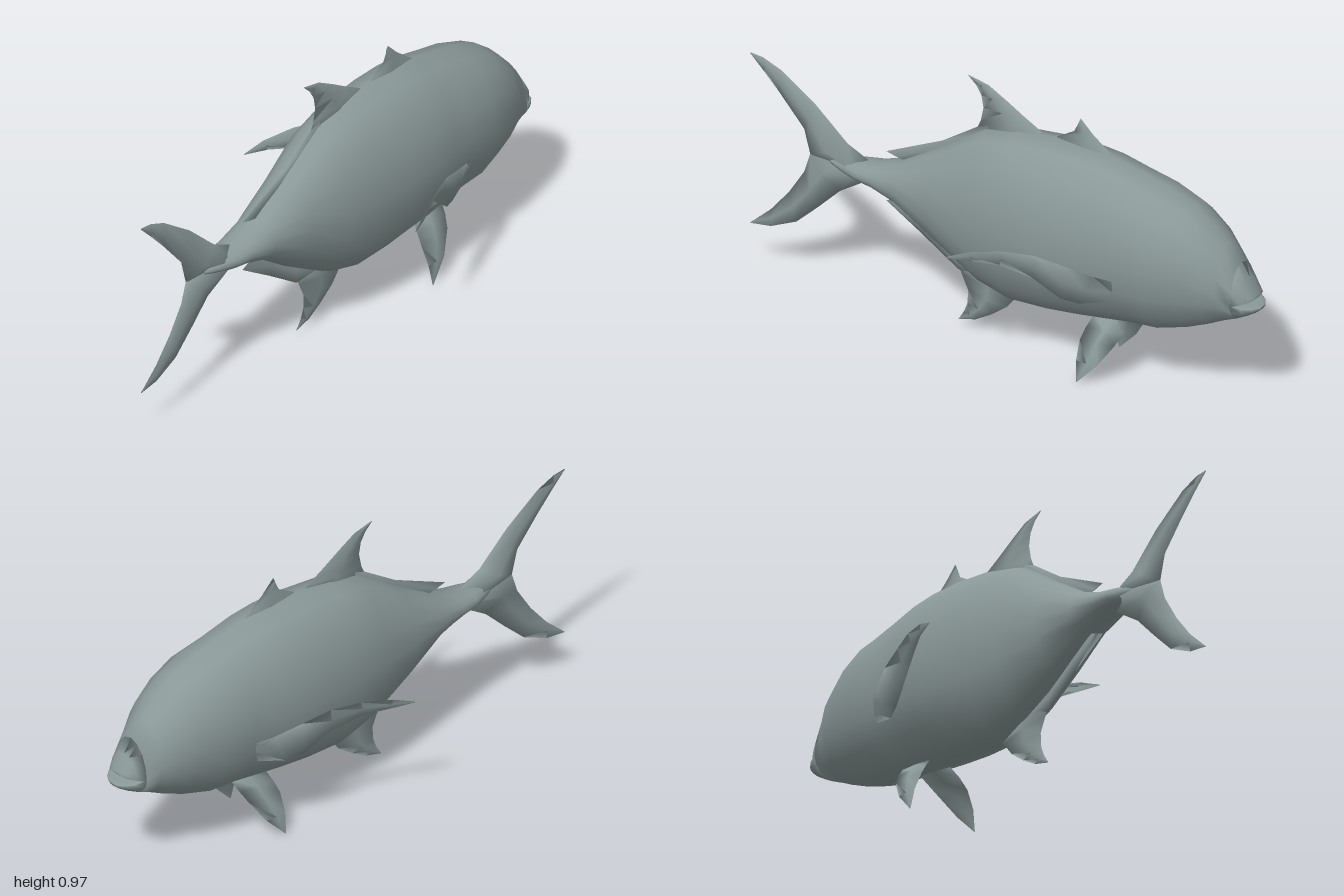
import * as THREE from 'three';

const skin = new THREE.MeshStandardMaterial({ color: 0x8a9898, side: THREE.DoubleSide });
skin.name = 'grey skin';

// Skin a list of equally sized point rings, closing both ends.
function skinRings(name, rings) {
  const n = rings[0].length, pos = [], idx = [];
  rings.forEach(r => r.forEach(p => pos.push(...p)));
  for (let i = 0; i < rings.length - 1; i++) {
    for (let j = 0; j < n; j++) {
      const a = i * n + j, b = i * n + (j + 1) % n;
      idx.push(a, a + n, b, b, a + n, b + n);
    }
  }
  const last = (rings.length - 1) * n;
  for (let j = 1; j < n - 1; j++) {
    idx.push(0, j, j + 1, last, last + j + 1, last + j);
  }
  const g = new THREE.BufferGeometry();
  g.setAttribute('position', new THREE.Float32BufferAttribute(pos, 3));
  g.setIndex(idx);
  g.computeVertexNormals();
  const mesh = new THREE.Mesh(g, skin);
  mesh.name = name;
  return mesh;
}

// Oval sections along x: [x, top, widest height, bottom, half width]
function loft(name, stations, sides = 16) {
  return skinRings(name, stations.map(([x, top, mid, bottom, w]) =>
    Array.from({ length: sides }, (_, j) => {
      const t = j / sides * Math.PI * 2, s = Math.sin(t);
      return [x, mid + s * (s > 0 ? top - mid : mid - bottom), w * Math.cos(t)];
    })));
}

// Lens-shaped fin: rows of [lead x, lead y, trail x, trail y, half thickness, lead z, trail z]
function fin(name, rows, side = 1) {
  return skinRings(name, rows.map(([lx, ly, tx, ty, t, lz = 0, tz = lz]) => {
    const mx = (lx + tx) / 2, my = (ly + ty) / 2, mz = side * (lz + tz) / 2;
    return [[lx, ly, side * lz], [mx, my, mz + t], [tx, ty, side * tz], [mx, my, mz - t]];
  }));
}

export function createModel() {
  const fish = new THREE.Group();
  fish.name = 'fish';

  // Body from the tail stalk to the corner of the mouth
  fish.add(loft('body', [
    [-0.68, 0.505, 0.495, 0.485, 0.015],
    [-0.61, 0.525, 0.495, 0.465, 0.045],
    [-0.56, 0.53, 0.495, 0.46, 0.063],
    [-0.5, 0.54, 0.495, 0.452, 0.072],
    [-0.4, 0.575, 0.495, 0.415, 0.088],
    [-0.25, 0.67, 0.495, 0.31, 0.12],
    [-0.08, 0.785, 0.495, 0.21, 0.157],
    [0.05, 0.815, 0.5, 0.175, 0.18],
    [0.2, 0.827, 0.5, 0.182, 0.193],
    [0.32, 0.825, 0.505, 0.195, 0.197],
    [0.42, 0.815, 0.51, 0.207, 0.19],
    [0.52, 0.79, 0.51, 0.22, 0.182],
    [0.63, 0.762, 0.51, 0.228, 0.183],
    [0.74, 0.722, 0.5, 0.26, 0.155],
    [0.82, 0.66, 0.48, 0.295, 0.132],
    [0.87, 0.61, 0.455, 0.32, 0.103],
    [0.92, 0.55, 0.415, 0.343, 0.083],
  ]));

  // Jaws, parted by the mouth
  fish.add(loft('upperJaw', [
    [0.92, 0.55, 0.415, 0.41, 0.083],
    [0.95, 0.5, 0.421, 0.418, 0.066],
    [0.975, 0.452, 0.43, 0.428, 0.045],
    [0.982, 0.438, 0.434, 0.432, 0.025],
  ]));
  fish.add(loft('lowerJaw', [
    [0.92, 0.418, 0.415, 0.343, 0.083],
    [0.955, 0.41, 0.405, 0.362, 0.07],
    [0.985, 0.408, 0.402, 0.38, 0.046],
    [1.0, 0.403, 0.4, 0.393, 0.02],
  ]));

  // Forked tail
  fish.add(fin('upperTailLobe', [
    [-0.53, 0.53, -0.62, 0.47, 0.045],
    [-0.62, 0.575, -0.765, 0.49, 0.026],
    [-0.745, 0.69, -0.79, 0.585, 0.014],
    [-0.88, 0.785, -0.88, 0.69, 0.008],
    [-0.95, 0.814, -0.945, 0.76, 0.005],
    [-1, 0.82, -0.998, 0.814, 0.002],
  ]));
  fish.add(fin('lowerTailLobe', [
    [-0.53, 0.462, -0.62, 0.52, 0.045],
    [-0.65, 0.385, -0.765, 0.5, 0.026],
    [-0.735, 0.3, -0.79, 0.42, 0.014],
    [-0.82, 0.22, -0.85, 0.325, 0.01],
    [-0.92, 0.175, -0.92, 0.24, 0.005],
    [-1, 0.165, -0.997, 0.17, 0.002],
  ]));

  // Fins along the back
  fish.add(fin('frontDorsalFin', [
    [0.44, 0.8, 0.18, 0.8, 0.012],
    [0.41, 0.82, 0.2, 0.832, 0.01],
    [0.34, 0.875, 0.265, 0.87, 0.006],
    [0.29, 0.925, 0.28, 0.9, 0.002],
  ]));
  fish.add(fin('dorsalFin', [
    [0.17, 0.8, -0.13, 0.74, 0.014],
    [0.14, 0.83, -0.1, 0.81, 0.012],
    [0.07, 0.87, -0.09, 0.86, 0.01],
    [0, 0.913, -0.098, 0.905, 0.007],
    [-0.07, 0.953, -0.12, 0.942, 0.004],
    [-0.148, 0.971, -0.145, 0.965, 0.002],
  ]));
  fish.add(fin('rearDorsalStrip', [
    [-0.07, 0.81, -0.07, 0.74, 0.01],
    [-0.25, 0.69, -0.25, 0.63, 0.007],
    [-0.47, 0.588, -0.39, 0.57, 0.002],
  ]));

  // Fins along the belly
  fish.add(fin('analFin', [
    [0.07, 0.2, -0.2, 0.26, 0.014],
    [0.04, 0.17, -0.175, 0.2, 0.012],
    [0, 0.12, -0.15, 0.145, 0.01],
    [-0.06, 0.075, -0.152, 0.095, 0.007],
    [-0.12, 0.04, -0.165, 0.06, 0.004],
    [-0.187, 0.022, -0.183, 0.03, 0.002],
  ]));
  fish.add(fin('rearAnalStrip', [
    [-0.1, 0.19, -0.1, 0.26, 0.01],
    [-0.19, 0.215, -0.2, 0.3, 0.008],
    [-0.33, 0.31, -0.31, 0.38, 0.006],
    [-0.47, 0.4, -0.4, 0.425, 0.002],
  ]));

  // Paired side and belly fins
  for (const side of [1, -1]) {
    const label = side > 0 ? 'left' : 'right';
    fish.add(fin(label + 'PectoralFin', [
      [0.52, 0.44, 0.5, 0.36, 0.003, 0.17, 0.165],
      [0.46, 0.46, 0.4, 0.335, 0.004, 0.205, 0.192],
      [0.37, 0.495, 0.34, 0.35, 0.004, 0.245, 0.218],
      [0.27, 0.522, 0.25, 0.42, 0.004, 0.275, 0.252],
      [0.17, 0.53, 0.15, 0.465, 0.003, 0.315, 0.3],
      [0.06, 0.515, 0.07, 0.478, 0.002, 0.355, 0.345],
      [-0.015, 0.487, -0.012, 0.484, 0.001, 0.378],
    ], side));
    fish.add(fin(label + 'PelvicFin', [
      [0.515, 0.23, 0.37, 0.22, 0.004, 0.04],
      [0.5, 0.19, 0.355, 0.18, 0.005, 0.075],
      [0.48, 0.15, 0.346, 0.14, 0.005, 0.102],
      [0.43, 0.075, 0.348, 0.075, 0.003, 0.13],
      [0.36, 0.002, 0.355, 0, 0.001, 0.143],
    ], side));
  }
  return fish;
}
